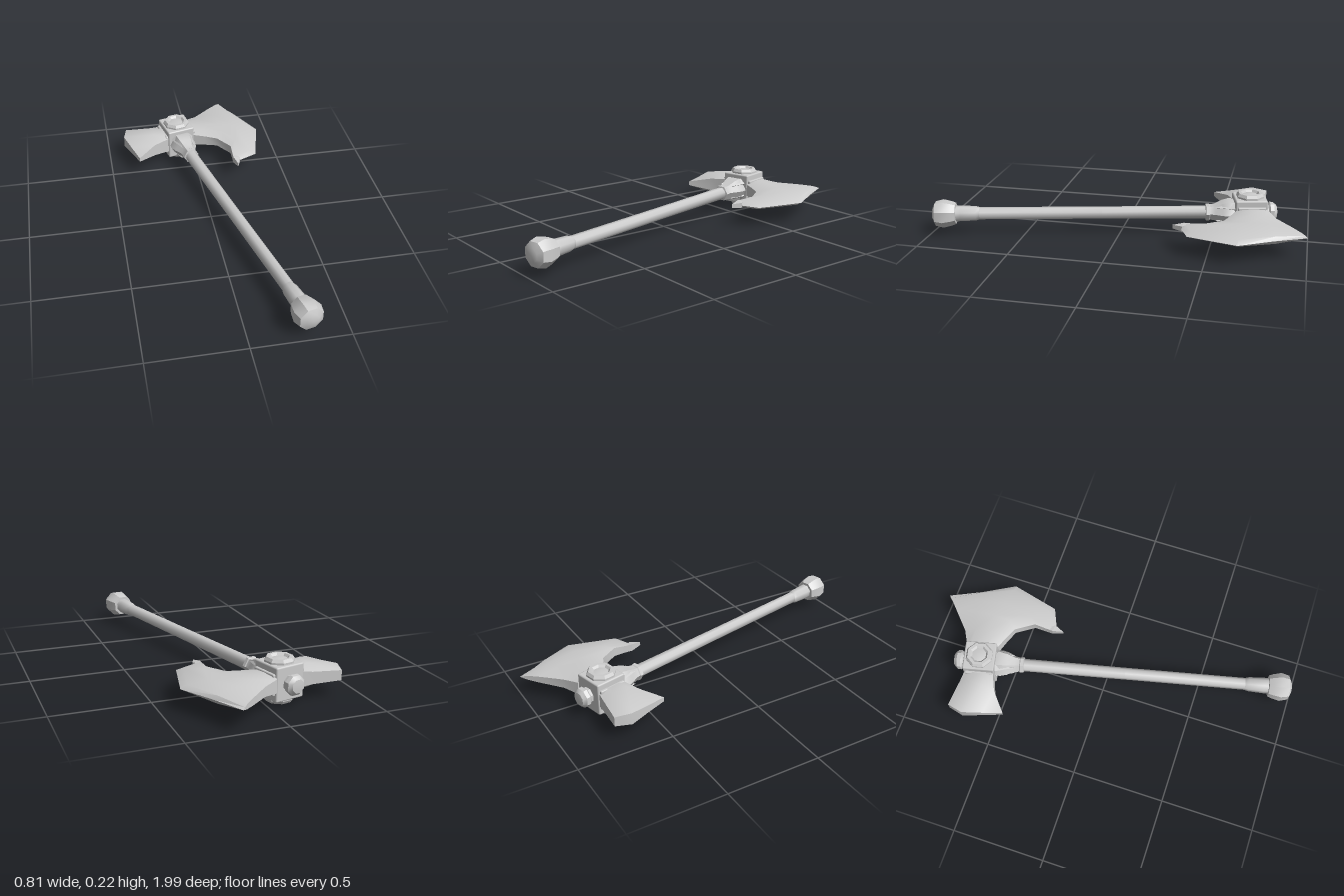
import * as THREE from 'three';
import { toCreasedNormals } from 'three/addons/utils/BufferGeometryUtils.js';
import { RoundedBoxGeometry } from 'three/addons/geometries/RoundedBoxGeometry.js';
import { ConvexGeometry } from 'three/addons/geometries/ConvexGeometry.js';

const MID = 0.115; // height of the axe's middle plane

// Symmetric blade: stations run toward +x, each a row of [x, z, halfThickness] with z increasing
function bladeGeometry(stations) {
  const loops = stations.map(row => [
    ...row.map(([x, z, h]) => [x, MID + h, z]),
    ...row.slice().reverse().map(([x, z, h]) => [x, MID - h, z]),
  ]);
  const pos = [];
  const quad = (a, b, c, d) => pos.push(...a, ...b, ...c, ...a, ...c, ...d);
  const n = loops[0].length;
  for (let i = 0; i < loops.length - 1; i++) {
    for (let j = 0; j < n; j++) {
      const k = (j + 1) % n;
      quad(loops[i][j], loops[i][k], loops[i + 1][k], loops[i + 1][j]);
    }
  }
  // end faces
  const first = loops[0], last = loops[loops.length - 1];
  for (let j = 0; j < n / 2 - 1; j++) {
    const b = n - 1 - j;
    quad(last[b], last[j], last[j + 1], last[b - 1]);
    quad(first[j], first[b], first[b - 1], first[j + 1]);
  }
  const geo = new THREE.BufferGeometry();
  geo.setAttribute('position', new THREE.Float32BufferAttribute(pos, 3));
  return toCreasedNormals(geo, 0.7);
}

// Turned part along +z from [radius, z] pairs
function turned(points, sides, crease = 0.9) {
  const geo = new THREE.LatheGeometry(points.map(([r, z]) => new THREE.Vector2(r, z)), sides);
  geo.rotateX(Math.PI / 2).rotateZ(Math.PI / sides);
  return toCreasedNormals(geo, crease);
}

export function createModel() {
  const model = new THREE.Group();
  const grey = new THREE.MeshStandardMaterial({ color: 0xcccccc });
  grey.name = 'light grey metal';

  const add = (parent, name, geo) => {
    const mesh = new THREE.Mesh(geo, grey);
    mesh.name = name;
    parent.add(mesh);
    return mesh;
  };

  // Handle and head block share one slanted axis
  const axis = new THREE.Group();
  axis.name = 'handleAndHead';
  axis.position.set(-0.09, MID, -0.68);
  axis.rotation.y = 0.23;
  model.add(axis);

  add(axis, 'shaft', turned([[0.035, 0.1], [0.033, 0.8], [0.033, 1.6]], 8));
  add(axis, 'ferrule', turned([[0.033, 1.46], [0.039, 1.48], [0.043, 1.56], [0.043, 1.6]], 8));
  add(axis, 'pommel', turned([
    [0, 1.585], [0.058, 1.588], [0.066, 1.61], [0.077, 1.655], [0.066, 1.698], [0.035, 1.712], [0, 1.716],
  ], 8, 0.7));
  add(axis, 'collar', turned([
    [0.07, 0.07], [0.077, 0.11], [0.066, 0.15], [0.046, 0.19], [0.042, 0.215],
    [0.046, 0.22], [0.046, 0.237], [0.035, 0.24],
  ], 6, 0.5));

  // Pointed claws around the collar
  for (let i = 0; i < 4; i++) {
    const claw = add(axis, 'collarClaw', toCreasedNormals(
      new THREE.ConeGeometry(0.03, 0.11, 4).rotateX(Math.PI / 2), 0.4));
    const a = i * Math.PI / 2 + Math.PI / 4;
    claw.position.set(Math.cos(a) * 0.052, Math.sin(a) * 0.052, 0.135);
  }

  add(axis, 'headBlock', new RoundedBoxGeometry(0.164, 0.175, 0.172, 1, 0.008));

  // Octagonal bosses above and below the block
  const bossProfile = [
    [0.076, 0.075], [0.076, 0.097], [0.066, 0.112], [0.05, 0.112], [0.04, 0.1], [0, 0.107],
  ];
  for (const side of [-1, 1]) {
    const boss = add(axis, side > 0 ? 'topBoss' : 'bottomBoss', turned(bossProfile, 8, 0.4));
    boss.rotation.x = -side * Math.PI / 2;
    const plate = add(axis, 'bladeSocket', new RoundedBoxGeometry(0.03, 0.11, 0.15, 1, 0.006));
    plate.position.x = side * 0.08;
  }

  // Rounded knob behind the block
  const knob = add(axis, 'backKnob', turned([
    [0.042, 0.07], [0.044, 0.1], [0.054, 0.11], [0.052, 0.13], [0.036, 0.147], [0, 0.152],
  ], 8, 0.6));
  knob.rotation.y = Math.PI;

  // Large blade
  add(model, 'largeBlade', bladeGeometry([
    [[-0.03, -0.785, 0.035], [-0.03, -0.76, 0.046], [-0.03, -0.71, 0.049], [-0.03, -0.66, 0.046], [-0.02, -0.625, 0.035]],
    [[0.05, -0.83, 0.025], [0.07, -0.77, 0.043], [0.08, -0.70, 0.045], [0.08, -0.64, 0.043], [0.07, -0.595, 0.03]],
    [[0.15, -0.922, 0.018], [0.17, -0.81, 0.037], [0.18, -0.70, 0.041], [0.18, -0.61, 0.038], [0.14, -0.566, 0.025]],
    [[0.20, -0.968, 0.012], [0.235, -0.83, 0.032], [0.27, -0.68, 0.036], [0.24, -0.52, 0.033], [0.205, -0.47, 0.025]],
    [[0.215, -0.985, 0.006], [0.29, -0.84, 0.02], [0.37, -0.66, 0.018], [0.31, -0.42, 0.016], [0.20, -0.37, 0.018]],
    [[0.23, -0.998, 0], [0.31, -0.83, 0], [0.405, -0.66, 0], [0.34, -0.40, 0], [0.24, -0.355, 0]],
  ]));

  // Small hooked spur at the bottom of the large blade
  const spurPoints = [];
  for (const s of [-1, 1]) {
    for (const [x, z, h] of [[0.202, -0.41, 0.02], [0.2, -0.365, 0.02], [0.24, -0.36, 0.014], [0.217, -0.307, 0.01]]) {
      spurPoints.push(new THREE.Vector3(x, MID + s * h, z));
    }
  }
  add(model, 'bladeSpur', new ConvexGeometry(spurPoints));

  // Small flared blade on the other side
  add(model, 'smallBlade', bladeGeometry([
    [[-0.39, -0.755, 0.026], [-0.41, -0.67, 0.032], [-0.375, -0.565, 0.02], [-0.34, -0.46, 0.012]],
    [[-0.24, -0.742, 0.032], [-0.235, -0.69, 0.062], [-0.235, -0.61, 0.068], [-0.24, -0.545, 0.035]],
    [[-0.14, -0.735, 0.045], [-0.14, -0.69, 0.05], [-0.14, -0.64, 0.05], [-0.14, -0.59, 0.045]],
  ]));

  return model;
}
